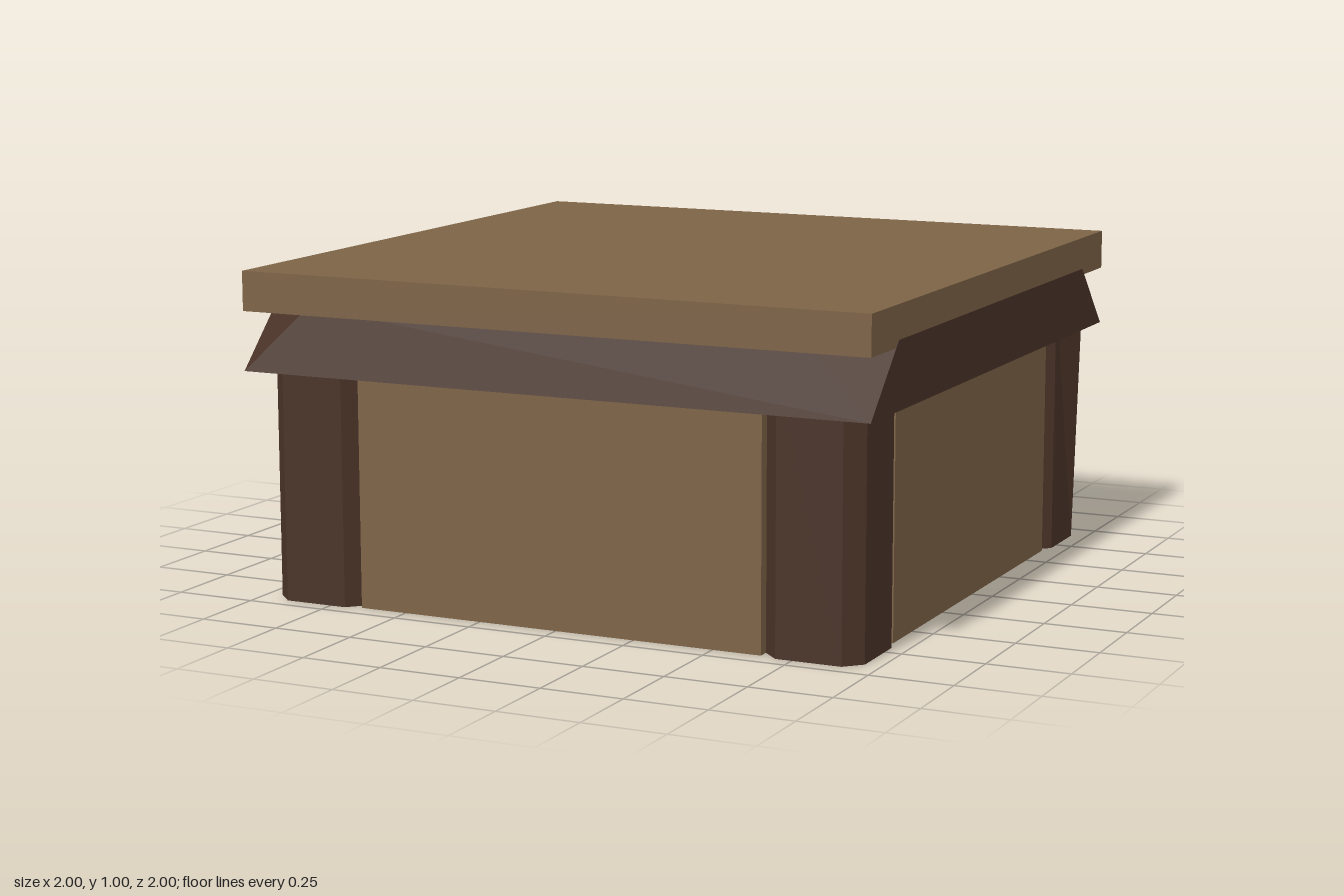
import * as THREE from 'three';

const tan = new THREE.MeshStandardMaterial({ color: 0x7d6347 });
const dark = new THREE.MeshStandardMaterial({ color: 0x4a3328 });

function add(group, name, geometry, material, x = 0, y = 0, z = 0) {
  const mesh = new THREE.Mesh(geometry, material);
  mesh.name = name;
  mesh.position.set(x, y, z);
  group.add(mesh);
}

const points = (list) => list.map(([x, y]) => new THREE.Vector2(x, y));

// Extrude an outline upward from y = 0, then move its vertices by a rule
function upright(shape, height, rule) {
  const geo = new THREE.ExtrudeGeometry(shape, { depth: height, bevelEnabled: false });
  geo.rotateX(-Math.PI / 2);
  const p = geo.attributes.position;
  const v = new THREE.Vector3();
  for (let i = 0; i < p.count; i++) {
    rule(v.fromBufferAttribute(p, i));
    p.setXYZ(i, v.x, v.y, v.z);
  }
  geo.computeVertexNormals();
  return geo;
}

// Square post with chamfered corners; flare leans one outer edge out at the top
function postGeometry(height, flare = 0) {
  const a = 0.15, b = 0.1;
  const shape = new THREE.Shape(points(
    [[a, -b], [a, b], [b, a], [-b, a], [-a, b], [-a, -b], [-b, -a], [b, -a]]));
  return upright(shape, height, (v) => {
    if (v.x * flare > 0.14 && v.z < -0.05 && v.y > 0.5) v.set(flare * 0.197, v.y, -0.02);
  });
}

// Apron ring: square at the bottom, narrowing to cut corners at the top
function apronGeometry() {
  const x = 1.001, z = 0.955, c = 0.8, inner = 0.65;
  const shape = new THREE.Shape(points(
    [[x, -c], [x, c], [c, z], [-c, z], [-x, c], [-x, -c], [-c, -z], [c, -z]]));
  shape.holes.push(new THREE.Path(points(
    [[inner, inner], [inner, -inner], [-inner, -inner], [-inner, inner]])));
  return upright(shape, 0.2, (v) => {
    if (v.y < 0.1 && Math.max(Math.abs(v.x), Math.abs(v.z)) > 0.7) {
      v.set(Math.sign(v.x), v.y, Math.sign(v.z));
    }
  });
}

export function createModel() {
  const model = new THREE.Group();

  // Top slab and the apron beneath it
  add(model, 'topSlab', new THREE.BoxGeometry(2, 0.12, 2), tan, 0, 0.94, 0);
  add(model, 'apron', apronGeometry(), dark, 0, 0.7, 0);

  for (const s of [1, -1]) {
    // Wall panels between the legs, set just behind the leg faces
    add(model, 'endPanel', new THREE.BoxGeometry(1.3, 0.88, 0.05), tan, 0, 0.44, s * 0.91);
    add(model, 'sidePanel', new THREE.BoxGeometry(0.05, 0.88, 1.3), tan, s * 0.91, 0.44, 0);

    // Corner legs; the back pair flares outward at the top
    add(model, 'frontLeg', postGeometry(0.82), dark, s * 0.8, 0, 0.8);
    add(model, 'backLeg', postGeometry(0.82, s), dark, s * 0.8, 0, -0.8);
  }

  // Central support under the slab
  add(model, 'centreLeg', postGeometry(0.88), dark);

  return model;
}
